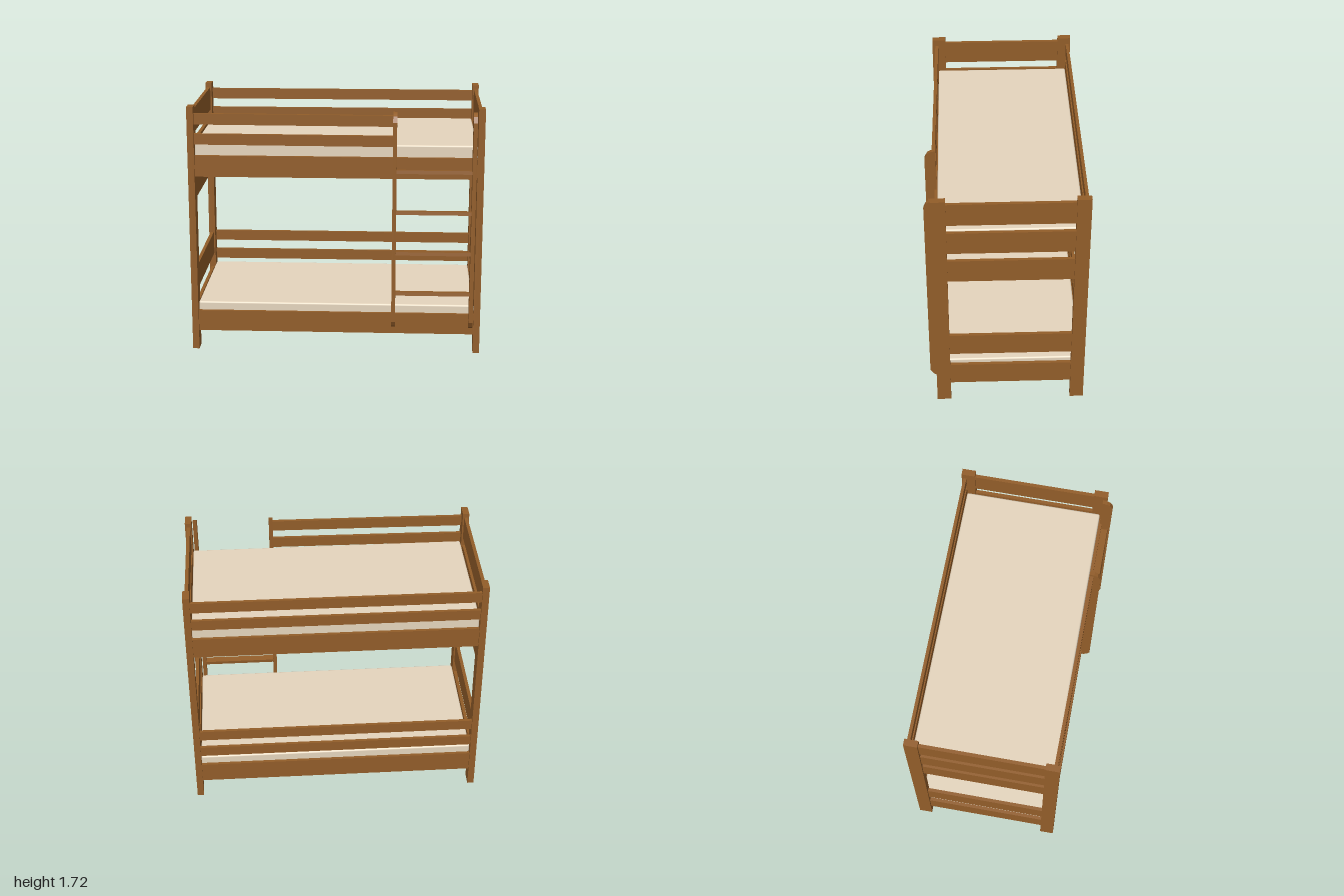
import * as THREE from 'three';
import { RoundedBoxGeometry } from 'three/addons/geometries/RoundedBoxGeometry.js';

const material = (name, color) => {
  const m = new THREE.MeshStandardMaterial({ color });
  m.name = name;
  return m;
};

export function createModel() {
  const wood = material('wood', 0x925d29);
  const fabric = material('mattress fabric', 0xe5d5bd);
  const navy = material('navy slat', 0x08384e);
  const green = material('green slat', 0x044a30);

  const model = new THREE.Group();
  model.name = 'bunkBed';

  const add = (name, geometry, mat) => {
    const mesh = new THREE.Mesh(geometry, mat);
    mesh.name = name;
    model.add(mesh);
    return mesh;
  };
  // Box given by its lower and upper limits on each axis
  const box = (name, [x0, x1], [y0, y1], [z0, z1], mat = wood) => {
    const mesh = add(name, new THREE.BoxGeometry(x1 - x0, y1 - y0, z1 - z0), mat);
    mesh.position.set((x0 + x1) / 2, (y0 + y1) / 2, (z0 + z1) / 2);
    return mesh;
  };

  // Corner posts and end boards
  const endBoards = [[0.147, 0.313], [0.417, 0.583], [1.064, 1.233], [1.297, 1.462], [1.526, 1.69]];
  for (const side of [-1, 1]) {
    const postX = side < 0 ? [-1, -0.955] : [0.955, 1];
    const boardX = side < 0 ? [-0.988, -0.965] : [0.965, 0.988];
    box('frontPost', postX, [0, 1.72], [0.39, 0.485]);
    box('backPost', postX, [0, 1.72], [-0.527, -0.435]);
    for (const y of endBoards) box('endBoard', boardX, y, [-0.437, 0.392]);
  }

  // Long side rails of both bunks
  const span = [-0.957, 0.957];
  const backZ = [-0.515, -0.494];
  for (const y of [[0.131, 0.277], [1.237, 1.383]]) {
    box('frontSideRail', span, y, [0.447, 0.468]);
    box('backSideRail', span, y, backZ);
  }

  // Guard rails: full length at the back, up to the ladder at the front
  const upperGuards = [[1.459, 1.533], [1.597, 1.672]];
  for (const y of [[0.362, 0.437], [0.506, 0.581], ...upperGuards]) {
    box('backGuardRail', span, y, backZ);
  }
  for (const y of upperGuards) {
    const rail = box('frontGuardRail', [-0.957, 0.39], y, [0.45, 0.472]);
    rail.rotation.y = -0.012;
  }

  // Mattresses on thin two-colour cross slats
  for (const base of [0.165, 1.295]) {
    const mattress = add('mattress', new RoundedBoxGeometry(1.91, 0.17, 0.94, 3, 0.012), fabric);
    mattress.position.set(0, base + 0.085, -0.024);
    const count = 8;
    for (let i = 0; i < count; i++) {
      const x = -0.89 + (i * 1.65) / (count - 1);
      const y = [base - 0.013, base - 0.009];
      box('slat', [x, x + 0.085], y, [-0.494, 0.447], navy);
      box('slatEdge', [x + 0.085, x + 0.13], y, [-0.494, 0.447], green);
    }
  }

  // Ladder stiles with clipped outer corners
  const profile = new THREE.Shape([
    [0.455, 0.18], [0.485, 0.185], [0.508, 0.2], [0.528, 0.235],
    [0.528, 1.635], [0.508, 1.675], [0.485, 1.688], [0.455, 1.695],
  ].map(([z, y]) => new THREE.Vector2(z, y)));
  const stile = new THREE.ExtrudeGeometry(profile, { depth: 0.027, bevelEnabled: false });
  stile.translate(0, 0, -0.0135).rotateY(-Math.PI / 2);
  for (const x of [0.4, 0.934]) add('ladderStile', stile, wood).position.x = x;

  // Ladder rungs, tipped slightly up at the front
  for (const y of [0.42, 0.708, 0.995, 1.28]) {
    const rung = box('ladderRung', [0.41, 0.924], [y, y + 0.024], [0.465, 0.515]);
    rung.rotation.x = -0.12;
  }

  return model;
}
